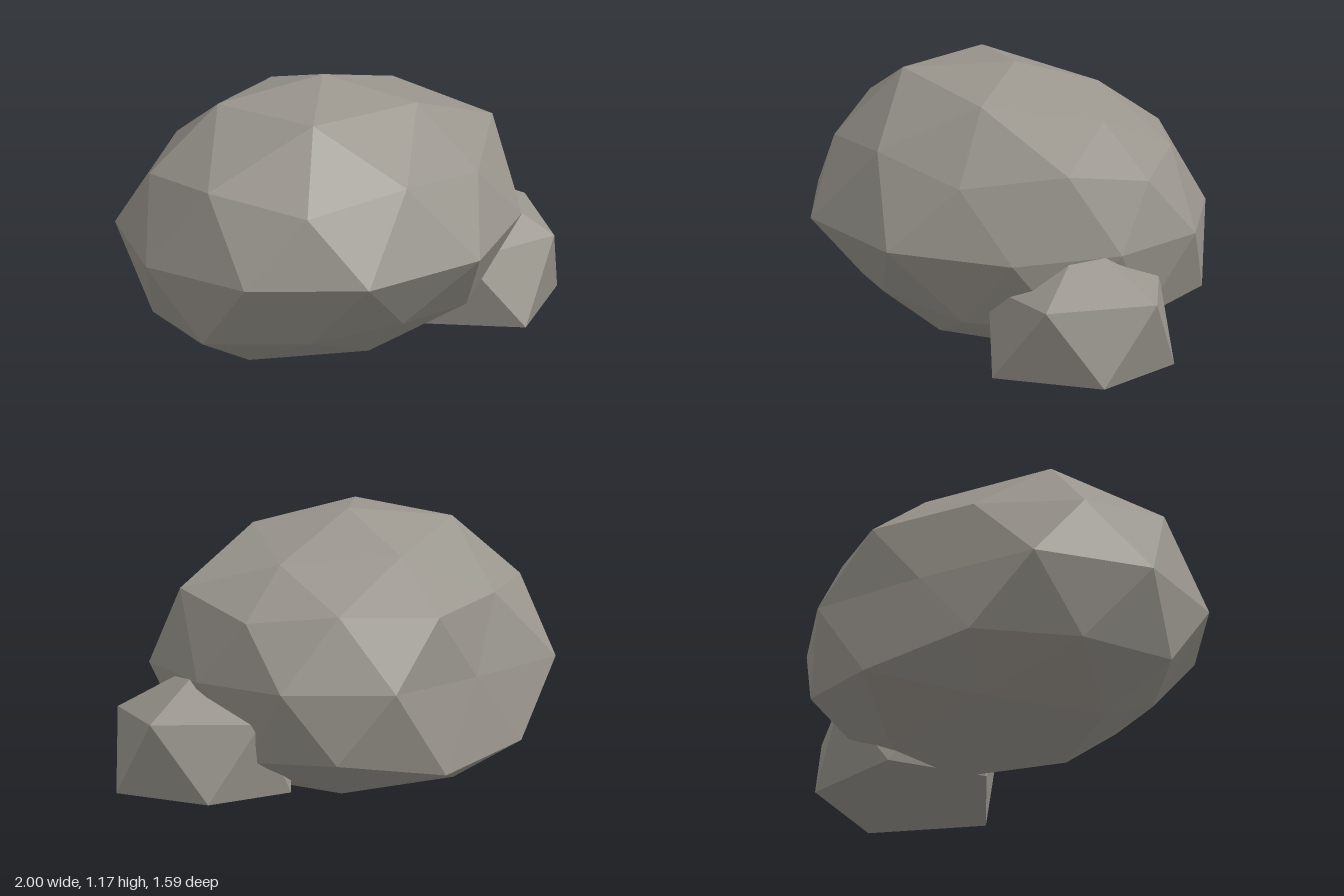
import * as THREE from 'three';

const stone = new THREE.MeshStandardMaterial({ color: 0x9a968e });
stone.name = 'warm grey stone';
stone.flatShading = true;

// Faceted rock made of stacked rings, listed from top to bottom.
// Each ring: radius, start angle in degrees, and [radius factor, height] for each corner.
function rock(name, [cx, cz], [sx, sz], rings) {
  const loops = rings.map(({ r, start, pts }) => pts.map(([s, y], i) => {
    const a = THREE.MathUtils.degToRad(start + (360 / pts.length) * i);
    return [cx + Math.cos(a) * r * s * sx, y, cz + Math.sin(a) * r * s * sz];
  }));
  const position = [];
  const tri = (...corners) => corners.forEach((c) => position.push(...c));

  // Zip each ring to the one below it, always taking the nearer next corner
  for (let k = 0; k < loops.length - 1; k++) {
    const A = loops[k], B = loops[k + 1];
    const nextA = (i) => rings[k].start + (360 / A.length) * (i + 1);
    const nextB = (j) => rings[k + 1].start + (360 / B.length) * (j + 1);
    const bias = A.length < B.length ? -1 : 1;
    let i = 0, j = 0;
    while (i < A.length || j < B.length) {
      const a = A[i % A.length], b = B[j % B.length];
      const stepA = j >= B.length || (i < A.length && nextA(i) + bias < nextB(j));
      if (stepA) {
        i++;
        if (A.length > 1) tri(a, A[i % A.length], b);
      } else {
        j++;
        if (B.length > 1) tri(a, B[j % B.length], b);
      }
    }
  }
  const geometry = new THREE.BufferGeometry();
  geometry.setAttribute('position', new THREE.Float32BufferAttribute(position, 3));
  geometry.computeVertexNormals();
  const mesh = new THREE.Mesh(geometry, stone);
  mesh.name = name;
  return mesh;
}

export function createModel() {
  const group = new THREE.Group();
  group.name = 'boulders';

  // Large boulder with a flat base
  group.add(rock('largeBoulder', [-0.07, -0.07], [0.97, 0.84], [
    { r: 0, start: 0, pts: [[0, 1.17]] },
    { r: 0.526, start: 0, pts: [[1, 1], [0.955, 1.085], [1.01, 1.12], [1, 1.1], [0.92, 1.02]] },
    { r: 0.87, start: 0, pts: [
      [0.91, 0.78], [0.98, 0.875], [0.95, 0.79], [0.92, 0.86], [0.985, 0.8],
      [0.985, 0.875], [1, 0.82], [0.89, 0.83], [0.96, 0.8], [0.85, 0.82]] },
    { r: 1, start: 18, pts: [0.88, 0.98, 1.02, 1.016, 0.985, 1.01, 1.02, 0.82, 0.947, 0.905].map((s) => [s, 0.5]) },
    { r: 0.87, start: 0, pts: [
      [0.88, 0.16], [0.92, 0.17], [0.88, 0.17], [0.88, 0.22], [0.83, 0.17],
      [1.03, 0.18], [0.98, 0.17], [1.05, 0.18], [1.03, 0.11], [1.02, 0.185]] },
    { r: 0.526, start: 36, pts: [[0.9, 0], [0.83, 0], [1.04, 0], [1.05, 0], [1, 0]] },
    { r: 0, start: 36, pts: [[0, 0]] },
  ]));

  // Small rock leaning into the boulder's front left
  group.add(rock('smallRock', [0.57, 0.225], [1, 1], [
    { r: 0, start: 0, pts: [[0, 0.57]] },
    { r: 0.41, start: 0, pts: [[1.05, 0.345], [1, 0.335], [1, 0.33], [0.95, 0.33], [0.95, 0.34]] },
    { r: 0.41, start: 36, pts: [[1.02, 0], [1.12, 0], [0.98, 0], [0.93, 0], [0.98, 0]] },
    { r: 0, start: 36, pts: [[0, 0]] },
  ]));
  return group;
}
